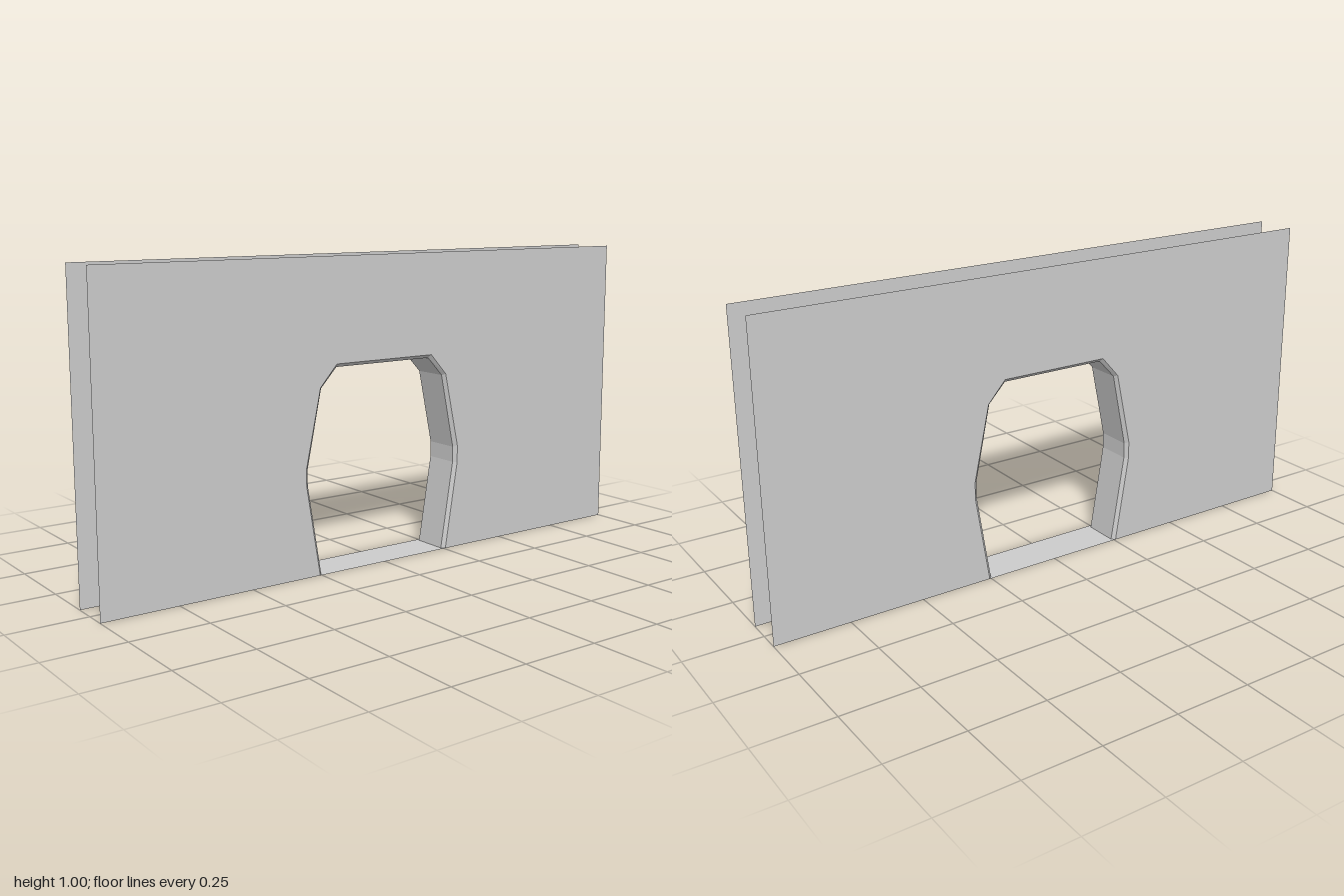
import * as THREE from 'three';

const material = new THREE.MeshStandardMaterial({
  color: 0xcccccc, flatShading: true, side: THREE.DoubleSide,
});

const FACE_Z = 0.07, INNER_Z = 0.059;

// Right half of the opening, from the ground up: at the panel face and inside the chamfer
const OUTER = [[0.256, 0], [0.304, 0.293], [0.304, 0.35], [0.25, 0.598], [0.188, 0.667]];
const INNER = [[0.245, 0], [0.293, 0.293], [0.293, 0.345], [0.241, 0.594], [0.183, 0.656]];

// Full arch outline, running from the +x foot over the top to the -x foot
const arch = (half) => [...half, ...half.slice().reverse().map(([x, y]) => [-x, y])];

// Flat sheet with the arch cut out of its lower edge
function panelGeometry() {
  const outline = [[-1, 0], [-1, 1], [1, 1], [1, 0], ...arch(OUTER)];
  return new THREE.ShapeGeometry(new THREE.Shape(outline.map(([x, y]) => new THREE.Vector2(x, y))));
}

// Surface joining successive cross-sections { points, z }
function loftGeometry(sections) {
  const positions = [];
  for (let s = 0; s < sections.length - 1; s++) {
    const a = sections[s], b = sections[s + 1];
    for (let i = 0; i < a.points.length - 1; i++) {
      const p = [...a.points[i], a.z], q = [...a.points[i + 1], a.z];
      const r = [...b.points[i + 1], b.z], t = [...b.points[i], b.z];
      positions.push(...p, ...q, ...r, ...p, ...r, ...t);
    }
  }
  const geometry = new THREE.BufferGeometry();
  geometry.setAttribute('position', new THREE.Float32BufferAttribute(positions, 3));
  geometry.computeVertexNormals();
  return geometry;
}

export function createModel() {
  const group = new THREE.Group();
  group.name = 'wallWithArchway';
  const add = (name, geometry) => {
    const mesh = new THREE.Mesh(geometry, material);
    mesh.name = name;
    group.add(mesh);
    return mesh;
  };

  // Two parallel wall faces
  add('frontPanel', panelGeometry()).position.z = FACE_Z;
  const back = add('backPanel', panelGeometry());
  back.position.z = -FACE_Z;
  back.rotation.y = Math.PI;

  // Chamfered front rim, straight passage and chamfered back rim
  const outer = arch(OUTER), inner = arch(INNER);
  add('frontChamfer', loftGeometry([{ points: outer, z: FACE_Z }, { points: inner, z: INNER_Z }]));
  add('passageLining', loftGeometry([{ points: inner, z: INNER_Z }, { points: inner, z: -INNER_Z }]));
  add('backChamfer', loftGeometry([{ points: inner, z: -INNER_Z }, { points: outer, z: -FACE_Z }]));

  // Floor strip closing the passage at ground level
  const feet = (half) => [[-half[0][0], 0], [half[0][0], 0]];
  add('threshold', loftGeometry([
    { points: feet(OUTER), z: FACE_Z },
    { points: feet(INNER), z: INNER_Z },
    { points: feet(INNER), z: -INNER_Z },
    { points: feet(OUTER), z: -FACE_Z },
  ]));

  return group;
}
